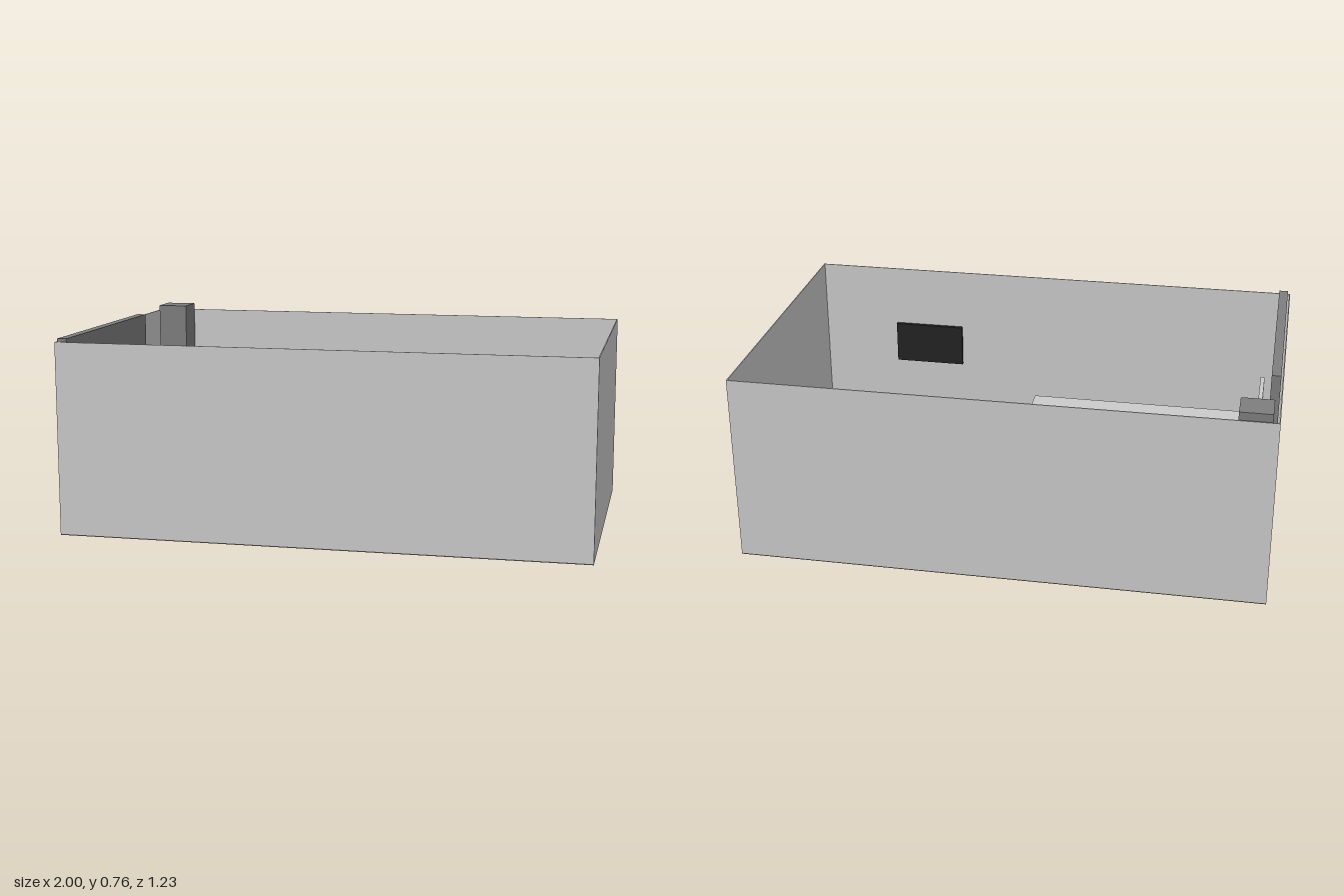
import * as THREE from 'three';

const mat = (color) => new THREE.MeshStandardMaterial({ color, flatShading: true });
const GREY = mat(0xcccccc), FLOOR = mat(0x696969), DARK = mat(0x7e7e7e);
const WOOD = mat(0x7c5a38), BLACK = mat(0x222222);

// Box given by its min and max on each axis
function box(parent, name, material, [x0, x1], [y0, y1], [z0, z1]) {
  const mesh = new THREE.Mesh(new THREE.BoxGeometry(x1 - x0, y1 - y0, z1 - z0), material);
  mesh.position.set((x0 + x1) / 2, (y0 + y1) / 2, (z0 + z1) / 2);
  mesh.name = name;
  parent.add(mesh);
  return mesh;
}

function group(parent, name) {
  const g = new THREE.Group();
  g.name = name;
  parent.add(g);
  return g;
}

// Sofa centred on x and z, backrest towards -z
function sofa(parent, name) {
  const g = group(parent, name);
  box(g, 'seat', WOOD, [-0.225, 0.225], [0, 0.1], [-0.06, 0.085]);
  box(g, 'backrest', WOOD, [-0.245, 0.245], [0, 0.2], [-0.085, -0.06]);
  for (const s of [-1, 1]) {
    box(g, 'armrest', WOOD, [s * 0.235 - 0.01, s * 0.235 + 0.01], [0, 0.15], [-0.06, 0.085]);
  }
  return g;
}

export function createModel() {
  const room = new THREE.Group();
  room.name = 'room';
  const D = 0.6125, H = 0.735, T = 0.004;

  // Shell: floor and four thin walls, open at the top
  box(room, 'floor', FLOOR, [-1, 1], [0, 0.004], [-D, D]);
  box(room, 'frontWall', GREY, [-1, 1], [0.004, H], [D - T, D]);
  box(room, 'backWall', GREY, [-1, 1], [0.004, H], [-D, -D + T]);
  box(room, 'rightWall', GREY, [-1, -1 + T], [0.004, H], [-D + T, D - T]);
  box(room, 'leftWall', GREY, [1 - T, 1], [0.004, H], [-D + T, D - T]);

  // Corner pillar and tall panel behind the bed
  box(room, 'pillar', DARK, [-0.975, -0.855], [0, 0.762], [-0.6, -0.48]);
  box(room, 'wallPanel', DARK, [-0.99, -0.955], [0, 0.748], [-0.245, 0.608]);

  // Bed
  const bed = group(room, 'bed');
  box(bed, 'mattress', GREY, [-0.905, 0.06], [0, 0.205], [-0.173, 0.56]);
  box(bed, 'headboard', GREY, [-0.922, -0.905], [0, 0.37], [-0.176, 0.565]);
  box(bed, 'pillow', GREY, [-0.882, -0.743], [0.205, 0.24], [0.063, 0.31]);

  // Two sofas facing each other across a low table
  sofa(room, 'backSofa').position.set(0.62, 0, -0.46);
  const frontSofa = sofa(room, 'frontSofa');
  frontSofa.position.set(0.62, 0, 0.055);
  frontSofa.rotation.y = Math.PI;

  const table = group(room, 'table');
  box(table, 'tableTop', WOOD, [0.475, 0.765], [0.085, 0.1], [-0.275, -0.13]);
  for (const x of [0.49, 0.75]) for (const z of [-0.26, -0.145]) {
    box(table, 'tableLeg', WOOD, [x - 0.01, x + 0.01], [0, 0.085], [z - 0.01, z + 0.01]);
  }

  // Flat screen on the front wall
  box(room, 'screen', BLACK, [0.39, 0.68], [0.313, 0.485], [0.593, D - T]);
  return room;
}
